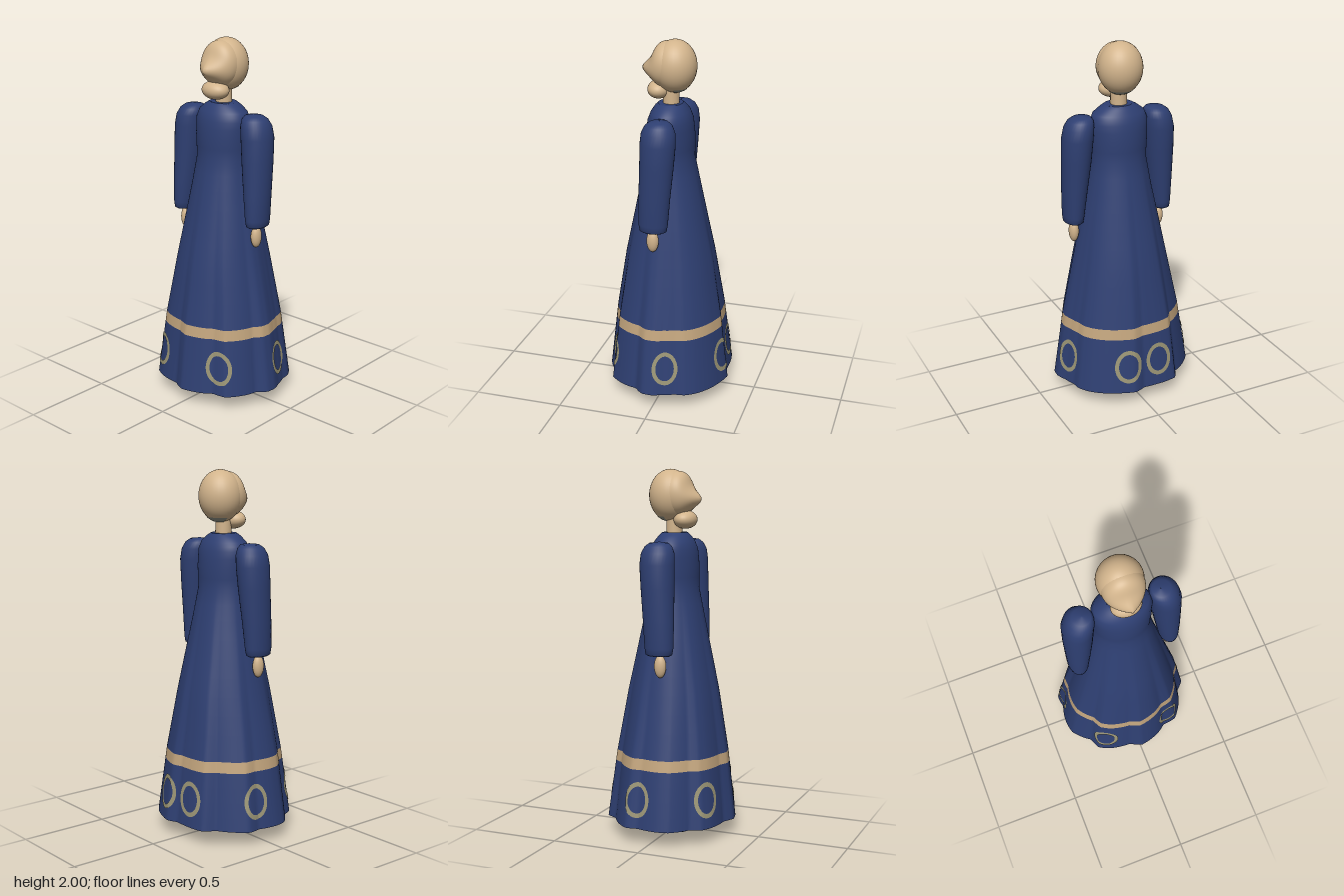
import * as THREE from 'three';

const mat = (name, color, side = THREE.FrontSide) => {
  const m = new THREE.MeshStandardMaterial({ color, side });
  m.name = name;
  return m;
};

// Wavy hem outline, [x, z] pairs going round from the left side through the front
const HEM = [
  [.388, 0], [.384, .058], [.338, .104], [.324, .162], [.255, .268], [.174, .28], [.127, .315], [.064, .34],
  [0, .353], [-.068, .32], [-.133, .315], [-.2, .3], [-.257, .27], [-.284, .207], [-.375, .12], [-.388, .058],
  [-.37, -.06], [-.38, -.129], [-.239, -.255], [-.205, -.317], [-.07, -.334], [0, -.332], [.064, -.357],
  [.137, -.334], [.3, -.232], [.336, -.176], [.342, -.125], [.365, -.06],
];
const RX = .388, RZ = .353, TAU = Math.PI * 2;
const wrap = a => ((a % TAU) + TAU) % TAU;
const POLAR = HEM.map(([x, z]) => [wrap(Math.atan2(z / RZ, x / RX)), Math.hypot(x / RX, z / RZ)]);
POLAR.push([TAU, POLAR[0][1]]);

function hemRadius(angle) {
  const a = wrap(angle);
  const i = Math.max(1, POLAR.findIndex(p => p[0] >= a));
  const [a0, r0] = POLAR[i - 1], [a1, r1] = POLAR[i];
  return r0 + (r1 - r0) * (a - a0) / (a1 - a0);
}

// Robe half widths: [y, x radius, z radius]
const ROBE = [
  [.085, .388, .353], [.46, .332, .307], [.8, .262, .25], [1, .222, .207], [1.2, .18, .165], [1.36, .153, .131],
  [1.48, .16, .131], [1.57, .162, .12], [1.615, .145, .102], [1.645, .105, .082], [1.66, .078, .066],
];

function robePoint(angle, y, offset = 0) {
  let i = 1;
  while (i < ROBE.length - 1 && ROBE[i][0] < y) i++;
  const [y0, x0, z0] = ROBE[i - 1], [y1, x1, z1] = ROBE[i];
  const t = (y - y0) / (y1 - y0);
  const folds = Math.max(0, Math.min(1, (1.4 - y) / 1.3));
  const r = 1 + (hemRadius(angle) - 1) * folds;
  return [
    (x0 + (x1 - x0) * t) * r * Math.cos(angle) + offset * Math.cos(angle), y,
    (z0 + (z1 - z0) * t) * r * Math.sin(angle) + offset * Math.sin(angle),
  ];
}

// Skin over closed loops: point(angle, row) for rows going upwards
function loft(rows, sides, point) {
  const pos = [], idx = [];
  rows.forEach((row, j) => {
    for (let i = 0; i < sides; i++) {
      pos.push(...point(i / sides * TAU, row));
      if (j === rows.length - 1) continue;
      const a = j * sides + i, b = j * sides + (i + 1) % sides;
      idx.push(a, a + sides, b, b, a + sides, b + sides);
    }
  });
  const g = new THREE.BufferGeometry();
  g.setAttribute('position', new THREE.Float32BufferAttribute(pos, 3));
  g.setIndex(idx);
  g.computeVertexNormals();
  return g;
}

export function createModel() {
  const model = new THREE.Group();
  const cloth = mat('blue cloth', 0x2e3f72, THREE.DoubleSide);
  const trim = mat('tan trim', 0xc4a67e, THREE.DoubleSide);
  const emblem = mat('dull gold', 0x9c9676, THREE.DoubleSide);
  const skin = mat('skin', 0xd2b48c);
  const hair = mat('grey hair', 0x8f9184);
  const hose = mat('brown hose', 0x3b2a1c);
  const shoeMat = mat('black shoe', 0x1b1b1b);

  const add = (name, geometry, material) => {
    const m = new THREE.Mesh(geometry, material);
    m.name = name;
    model.add(m);
    return m;
  };
  const ball = (name, material, r, p) =>
    add(name, new THREE.SphereGeometry(1, 32, 24).scale(...r).translate(...p), material);

  // Robe, split where the trim band runs
  const robeBand = (name, ys, material) => add(name, loft(ys, 168, (a, y) => robePoint(a, y)), material);
  robeBand('skirtHem', [.085, .16, .24, .32, .4], cloth);
  robeBand('trimBand', [.4, .46], trim);
  robeBand('robe', [.46, .6, .7, .8, .9, 1, 1.1, 1.2, 1.28, 1.36, 1.42, 1.48, 1.53, 1.57, 1.595, 1.615, 1.645, 1.66], cloth);
  const collar = add('collar', new THREE.RingGeometry(.5, 1, 48).rotateX(-Math.PI / 2), cloth);
  collar.scale.set(.078, 1, .066);
  collar.position.y = 1.66;

  // Oval outlines on the hem, on the outside and the lining
  for (const deg of [55, 125, -12, 192, -75, 255]) {
    for (const offset of [.004, -.004]) {
      const g = loft([0, .5, 1], 96, (s, t) => {
        const w = .077 - .022 * t, h = .096 - .024 * t;
        const local = .36 * Math.PI / 180;
        const a = deg * Math.PI / 180 + w * Math.cos(s) / (local * 180 / Math.PI);
        return robePoint(a, .24 + h * Math.sin(s), offset);
      });
      add('hemOval', g, emblem);
    }
  }

  // Sleeves: [y, centre x, x radius, z radius, centre z]
  const SLEEVE = [
    [1.03, .265, .001, .001, .02], [1.018, .265, .042, .062, .02], [1.025, .265, .052, .074, .02],
    [1.06, .264, .057, .08, .02], [1.2, .257, .068, .085, .015], [1.38, .247, .08, .091, .005],
    [1.5, .241, .084, .095, 0], [1.56, .232, .08, .09, 0], [1.595, .223, .069, .073, 0],
    [1.613, .216, .05, .05, 0], [1.619, .212, .001, .001, 0],
  ];
  for (const side of [1, -1]) {
    add('sleeve', loft(SLEEVE, 32, (a, [y, cx, rx, rz, cz]) =>
      [side * cx + rx * Math.cos(a), y, cz + rz * Math.sin(a)]), cloth);
    ball('hand', skin, [.027, .062, .033], [side * .26, .96, .025]);

    // Legs and shoes under the skirt
    const leg = add('leg', new THREE.CylinderGeometry(.075, .052, .5, 24), hose);
    leg.position.set(side * .095, .31, 0);
    ball('shoe', shoeMat, [.05, .042, .105], [side * .097, .042, .035]);
  }

  // Neck and head
  const neck = add('neck', new THREE.CylinderGeometry(.043, .045, .16, 24), skin);
  neck.position.set(0, 1.7, -.003);
  ball('cranium', skin, [.121, .141, .117], [0, 1.859, -.024]);
  ball('chin', skin, [.082, .05, .062], [0, 1.729, .063]);

  // Face with a pointed nose ridge
  const face = new THREE.SphereGeometry(1, 48, 40);
  const p = face.attributes.position;
  for (let i = 0; i < p.count; i++) {
    const x = p.getX(i), y = p.getY(i), z = p.getZ(i);
    const ridge = z > 0 ? .058 * Math.max(0, 1 - Math.abs(x)) * Math.exp(-(((y + .22) / .4) ** 2)) : 0;
    p.setXYZ(i, x * .113, 1.865 + y * .125, (z > 0 ? .1 * Math.pow(z, .65) : .09 * z) + ridge);
  }
  face.computeVertexNormals();
  add('face', face, skin);

  // Hair at the nape, under the back of the head
  add('napeHair', new THREE.SphereGeometry(1, 24, 8, Math.PI * 1.05, Math.PI * .9, Math.PI * .79, Math.PI * .13)
    .scale(.123, .143, .119).translate(0, 1.859, -.024), hair);

  return model;
}
